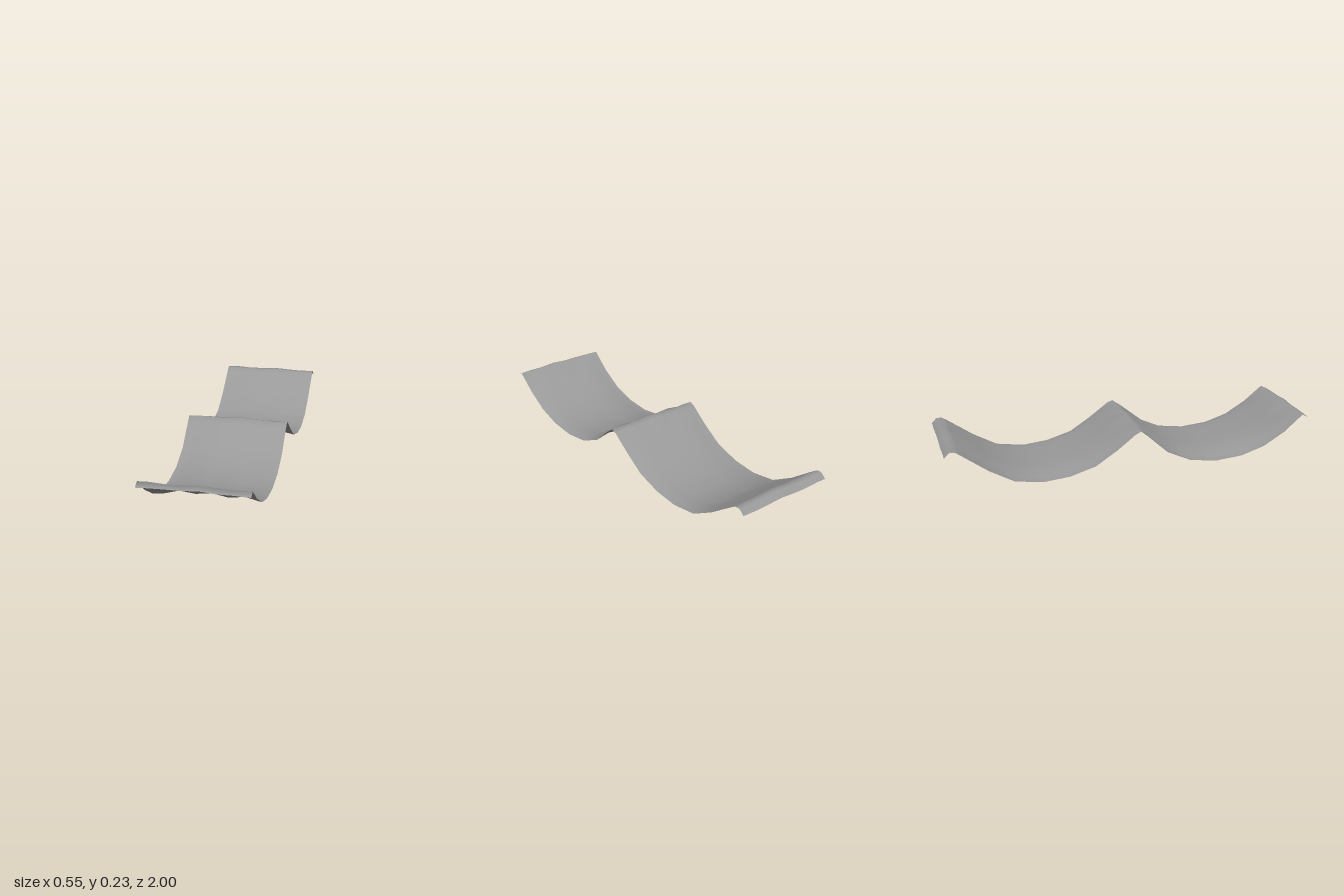
import * as THREE from 'three';

// Lengthwise section, front to back: [z, mean height, share of the trough ripple]
const PROFILE = [
  [1, 0.208, 0.3], [0.965, 0.222, 0], [0.86, 0.148, 1.2], [0.74, 0.079, 1.4], [0.61, 0.04, 1.5],
  [0.46, 0.028, 1.6], [0.31, 0.048, 1.5], [0.18, 0.107, 1.4], [0.065, 0.204, 0.8], [0.03, 0.222, 0],
  [0, 0.214, 0.4], [-0.1, 0.147, 1.2], [-0.22, 0.07, 1.2], [-0.36, 0.028, 1.1], [-0.5, 0.014, 1],
  [-0.65, 0.038, 1.1], [-0.78, 0.11, 1], [-0.92, 0.203, 0.3], [-0.945, 0.217, 0.1],
  [-0.973, 0.217, 0], [-1, 0.191, 0],
];

// Slight unevenness across the width: [x, trough ripple, crest ripple]
const RIPPLE = [
  [-0.273, -0.012, 0.001], [-0.22, -0.009, 0.003], [-0.135, 0.008, -0.002], [-0.055, 0.001, 0],
  [0.025, 0.009, 0.006], [0.11, -0.002, 0.001], [0.19, 0.006, -0.002], [0.273, -0.008, 0],
];

export function createModel() {
  const group = new THREE.Group();
  group.name = 'corrugatedSheet';

  // Thin sheet: a grid bent over the section, with ripples blended by height
  const columns = RIPPLE.length;
  const geometry = new THREE.PlaneGeometry(1, 1, columns - 1, PROFILE.length - 1);
  const position = geometry.attributes.position;
  PROFILE.slice().reverse().forEach(([z, y, share], row) => {
    RIPPLE.forEach(([x, trough, crest], column) => {
      const lift = trough * share + crest * Math.max(0, 1 - share);
      position.setXYZ(row * columns + column, x, y + lift, z);
    });
  });
  geometry.computeVertexNormals();

  const sheet = new THREE.Mesh(
    geometry,
    new THREE.MeshStandardMaterial({ color: 0x999999, side: THREE.DoubleSide }),
  );
  sheet.name = 'wavySheet';
  group.add(sheet);
  return group;
}
